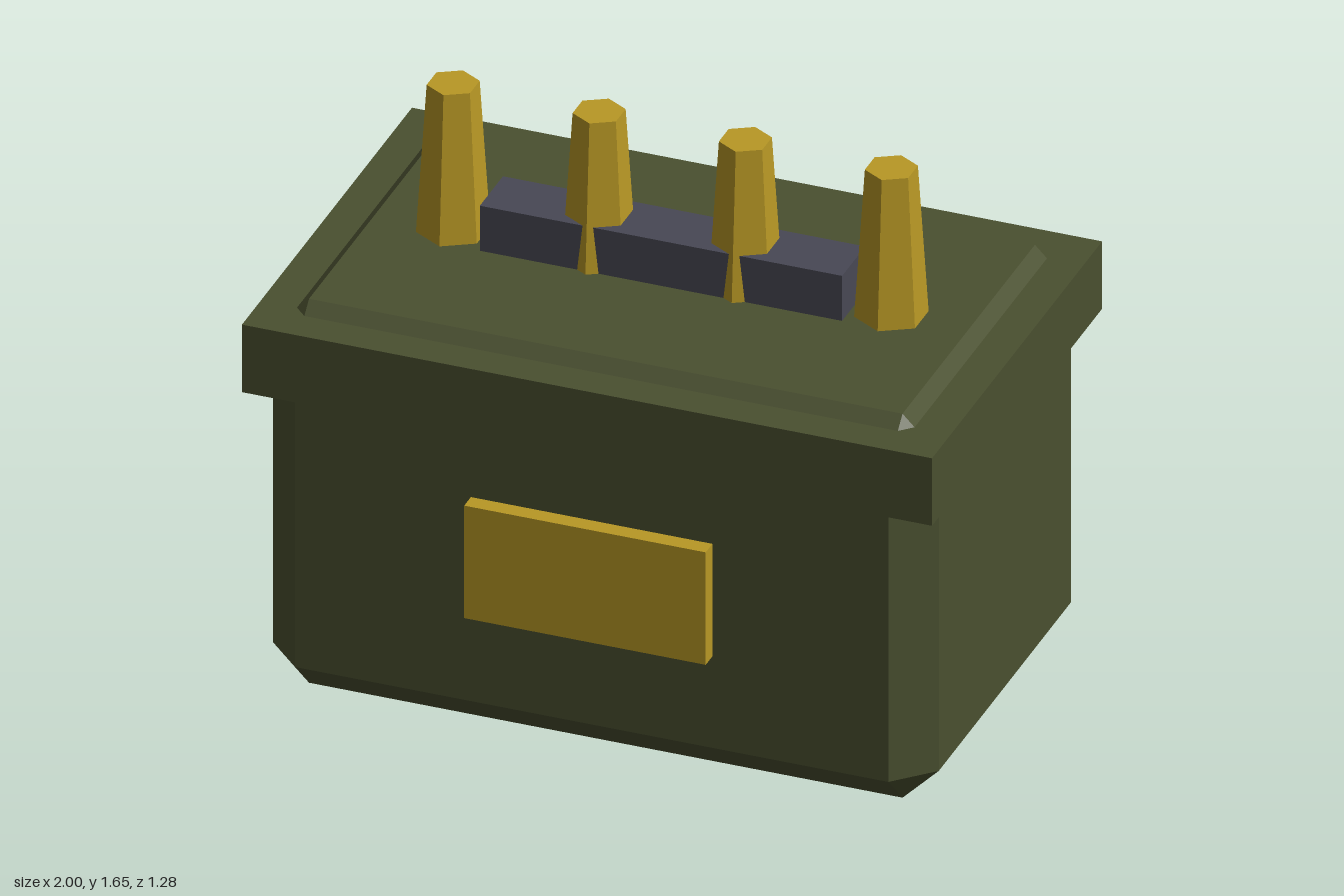
import * as THREE from 'three';
import { ConvexGeometry } from 'three/addons/geometries/ConvexGeometry.js';

const olive = new THREE.MeshStandardMaterial({ color: 0x4a5030, name: 'olive' });
const gold = new THREE.MeshStandardMaterial({ color: 0xb89825, name: 'gold' });
const slate = new THREE.MeshStandardMaterial({ color: 0x484854, name: 'slate' });
for (const m of [olive, gold, slate]) m.flatShading = true;

// Box with every edge cut at 45 degrees and triangular corners
function chamferedBox(w, h, d, c) {
  const points = [];
  for (const sx of [-1, 1]) for (const sy of [-1, 1]) for (const sz of [-1, 1]) {
    for (let axis = 0; axis < 3; axis++) {
      const half = [w / 2, h / 2, d / 2].map((v, i) => (i === axis ? v : v - c));
      points.push(new THREE.Vector3(sx * half[0], sy * half[1], sz * half[2]));
    }
  }
  return new ConvexGeometry(points);
}

export function createModel() {
  const model = new THREE.Group();
  model.name = 'terminalBox';

  const add = (name, geometry, material, x, y, z) => {
    const mesh = new THREE.Mesh(geometry, material);
    mesh.name = name;
    mesh.position.set(x, y, z);
    model.add(mesh);
  };

  const zc = -0.0075; // the case sits slightly behind the origin

  // Case, its top showing above the rim
  add('case', chamferedBox(1.93, 1.195, 1.195, 0.105), olive, 0, 0.5975, zc);
  add('rim', new THREE.BoxGeometry(2, 0.21, 1.265), olive, 0, 1.055, zc);

  // Front plate
  add('frontPlate', new THREE.BoxGeometry(0.7, 0.35, 0.1), gold, 0, 0.565, 0.59);

  // Bar between the posts
  add('bar', new THREE.BoxGeometry(1.05, 0.16, 0.172), slate, 0, 1.255, -0.0115);

  // Row of tapered hexagonal posts
  const post = new THREE.CylinderGeometry(0.0725, 0.1025, 0.465, 6);
  [-0.635, -0.212, 0.212, 0.635].forEach((x, i) => {
    add(`post${i + 1}`, post, gold, x, 1.4175, -0.0095);
  });

  return model;
}
